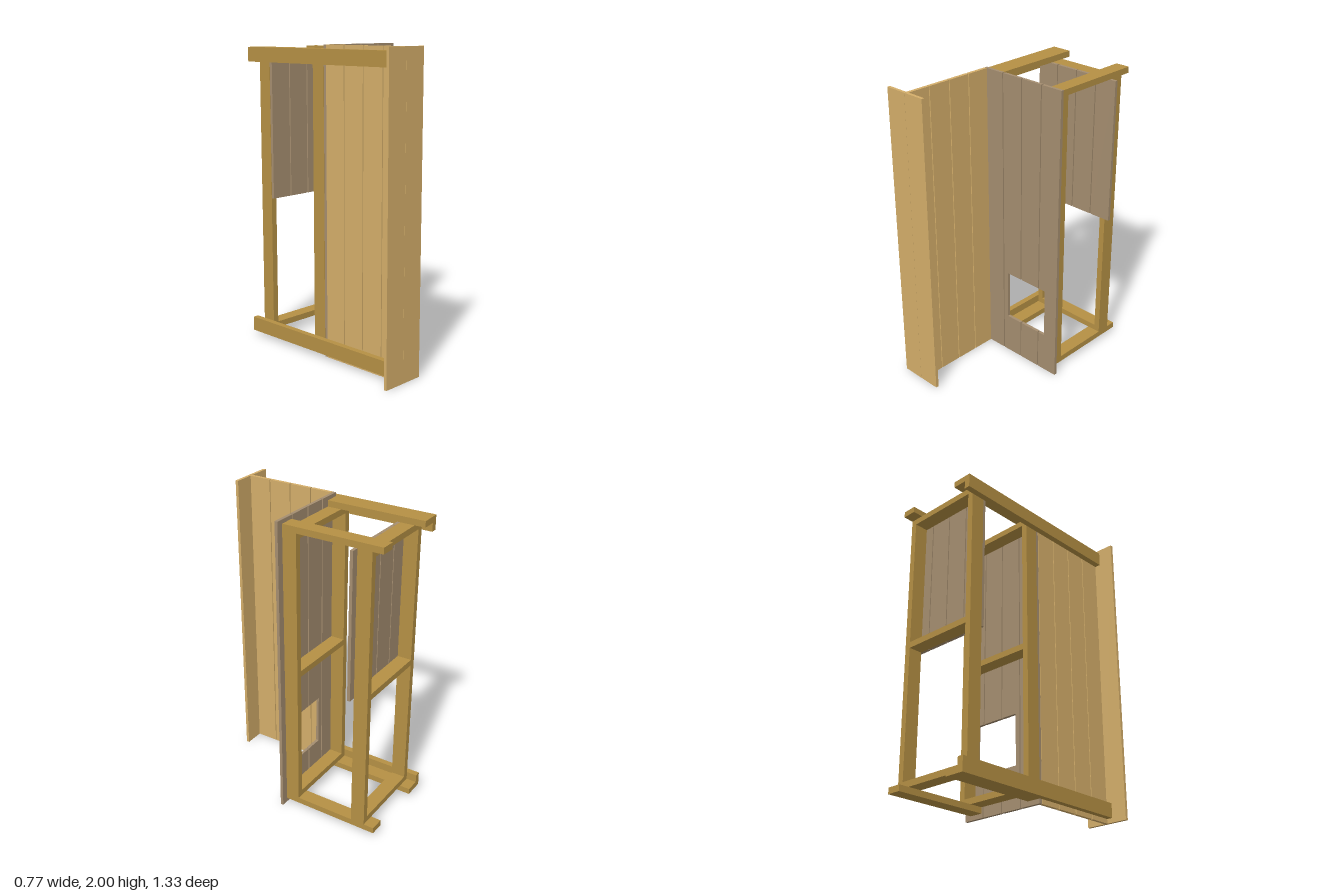
import * as THREE from 'three';

const mat = (color) => new THREE.MeshStandardMaterial({ color, flatShading: true });

export function createModel() {
  const model = new THREE.Group();
  model.name = 'wallFrame';
  const frameMat = mat(0xb59044), boardMat = mat(0xd4ae6a), panelMat = mat(0xa58e70);

  // Box given by its lower and upper limits on each axis
  const box = (parent, name, material, [x0, x1], [y0, y1], [z0, z1]) => {
    const mesh = new THREE.Mesh(new THREE.BoxGeometry(x1 - x0, y1 - y0, z1 - z0), material);
    mesh.position.set((x0 + x1) / 2, (y0 + y1) / 2, (z0 + z1) / 2);
    mesh.name = name;
    parent.add(mesh);
  };
  const group = (name) => {
    const g = new THREE.Group();
    g.name = name;
    model.add(g);
    return g;
  };

  // Timber frame
  const frame = group('frame');
  const depths = [[-0.095, 0], [-0.595, -0.5]];
  for (const y of [0.03, 1.935]) {
    box(frame, 'flatBeam', frameMat, [-0.24, -0.145], [y, y + 0.04], [-0.665, 0]);
    box(frame, 'flatBeam', frameMat, [0.245, 0.34], [y, y + 0.04], [-0.665, 0]);
  }
  for (const y of [0.03, 1.88])
    box(frame, 'longRail', frameMat, [-0.28, -0.24], [y, y + 0.095], [-0.665, 0.64]);
  for (const z of depths) {
    for (const x of [-0.24, 0.3])
      box(frame, 'post', frameMat, [x, x + 0.04], [0.07, 1.935], z);
    for (const y of [0.07, 0.98, 1.895])
      box(frame, 'crossMember', frameMat, [-0.2, 0.3], [y, y + 0.04], z);
  }

  // Fascia boards at the front end of the side wall
  const fascia = group('fascia');
  for (const x of [-0.385, -0.2345])
    box(fascia, 'fasciaBoard', boardMat, [x, x + 0.1495], [0, 2], [0.64, 0.66]);

  // Side wall boards
  const sideWall = group('sideWall');
  for (let i = 0; i < 4; i++) {
    const z = 0.022 + i * 0.156;
    box(sideWall, 'sideBoard', boardMat, [-0.24, -0.218], [0, 2], [z, z + 0.15]);
  }

  // Front and back panels; the front one has a window cut across its boards
  const front = group('frontPanel');
  const back = group('backPanel');
  const wx0 = -0.048, wx1 = 0.285, wy0 = 0.275, wy1 = 0.615;
  const notched = (x0, x1, edge, inner) => {
    const pts = [[edge, 0], [inner, 0], [inner, wy0], [x0, wy0], [x0, wy1], [inner, wy1], [inner, 2], [edge, 2]];
    const shape = new THREE.Shape(pts.map(([x, y]) => new THREE.Vector2(x, y)));
    const mesh = new THREE.Mesh(new THREE.ExtrudeGeometry(shape, { depth: 0.02, bevelEnabled: false }), panelMat);
    mesh.name = 'notchedBoard';
    front.add(mesh);
  };
  for (let i = 0; i < 4; i++) {
    const x0 = -0.238 + i * 0.1577, x1 = x0 + 0.15;
    box(back, 'backBoard', panelMat, [x0, x1], [0.98, 1.935], [-0.5, -0.48]);
    if (x1 < wx0) box(front, 'frontBoard', panelMat, [x0, x1], [0, 2], [0, 0.02]);
    else if (x0 < wx0) notched(wx0, x1, x0, x1);
    else if (x1 > wx1) notched(wx1, x0, x1, x0);
    else {
      box(front, 'lowerBoard', panelMat, [x0, x1], [0, wy0], [0, 0.02]);
      box(front, 'upperBoard', panelMat, [x0, x1], [wy1, 2], [0, 0.02]);
    }
  }
  return model;
}
